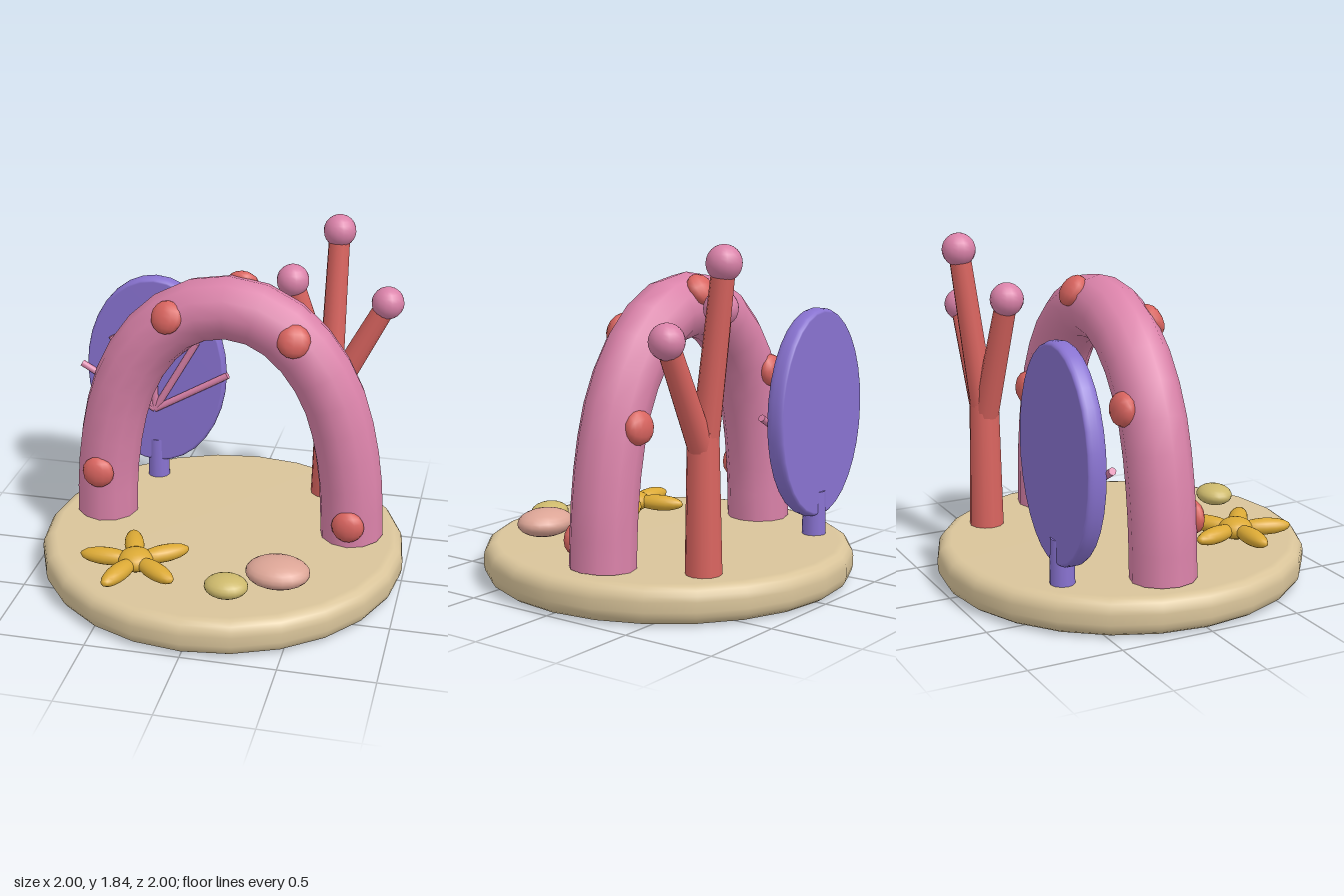
import * as THREE from 'three';

const mat = (name, color) => {
  const m = new THREE.MeshStandardMaterial({ color });
  m.name = name;
  return m;
};

export function createModel() {
  const sand = mat('sand', 0xd9c49a);
  const pink = mat('pink', 0xda82a9);
  const coralRed = mat('coral red', 0xd9645f);
  const purple = mat('purple', 0x8872d0);
  const gold = mat('gold', 0xdba935);
  const blush = mat('blush', 0xdca596);
  const olive = mat('olive', 0xcdb96c);

  const model = new THREE.Group();
  model.name = 'reefOrnament';
  const V = (x, y, z) => new THREE.Vector3(x, y, z);

  const add = (parent, name, geometry, material, x = 0, y = 0, z = 0) => {
    const mesh = new THREE.Mesh(geometry, material);
    mesh.name = name;
    mesh.position.set(x, y, z);
    parent.add(mesh);
    return mesh;
  };
  const group = (name) => {
    const g = new THREE.Group();
    g.name = name;
    model.add(g);
    return g;
  };
  const ellipsoid = (rx, ry, rz, w = 20, h = 12) =>
    new THREE.SphereGeometry(1, w, h).scale(rx, ry, rz);

  // Round slab with a rounded rim, standing on y = 0
  const puck = (radius, height, round, sides) => {
    const pts = [new THREE.Vector2(0, 0)];
    for (const [cy, start] of [[round, -Math.PI / 2], [height - round, 0]]) {
      for (let i = 0; i <= 4; i++) {
        const a = start + (i / 4) * Math.PI / 2;
        pts.push(new THREE.Vector2(radius - round + Math.cos(a) * round, cy + Math.sin(a) * round));
      }
    }
    pts.push(new THREE.Vector2(0, height));
    return new THREE.LatheGeometry(pts, sides);
  };

  // Tapered rod between two points
  const rod = (parent, name, a, b, ra, rb, material, sides = 12) => {
    const mesh = add(parent, name, new THREE.CylinderGeometry(rb, ra, a.distanceTo(b), sides), material);
    mesh.position.copy(a).lerp(b, 0.5);
    mesh.quaternion.setFromUnitVectors(V(0, 1, 0), b.clone().sub(a).normalize());
    return mesh;
  };

  // Base
  add(model, 'base', puck(1, 0.2, 0.075, 24), sand);

  // Arch
  const half = [[0.70, 0.2], [0.685, 0.5], [0.635, 0.81], [0.56, 1.04], [0.42, 1.26], [0.22, 1.42]];
  const path = [
    ...half.map(([x, y]) => V(-x, y, -0.115)),
    V(0, 1.47, -0.115),
    ...half.slice().reverse().map(([x, y]) => V(x, y, -0.115)),
  ];
  const arch = group('arch');
  add(arch, 'archTube', new THREE.TubeGeometry(new THREE.CatmullRomCurve3(path), 20, 0.173, 12), pink);

  // Flattened bumps on the arch: position, then outward direction
  const bumps = [
    [-0.30, 1.44, 0.03, -0.2, 0.45, 0.9],
    [0.38, 1.365, 0.03, 0.2, 0.4, 0.9],
    [-0.70, 0.50, 0.05, 0, 0, 1],
    [0.70, 0.325, 0.05, 0, 0, 1],
    [0.05, 1.56, -0.25, 0, 0.6, -0.8],
    [-0.57, 1.07, -0.28, -0.1, 0.1, -1],
    [0.61, 0.92, -0.28, 0.1, 0.1, -1],
  ];
  for (const [x, y, z, nx, ny, nz] of bumps) {
    const bump = add(arch, 'bump', ellipsoid(0.09, 0.09, 0.055, 12, 8), coralRed, x, y, z);
    bump.quaternion.setFromUnitVectors(V(0, 0, 1), V(nx, ny, nz).normalize());
  }

  // Branching coral with round tips
  const coral = group('branchCoral');
  rod(coral, 'trunk', V(0.485, 0.2, -0.585), V(0.49, 0.92, -0.582), 0.094, 0.08, coralRed);
  for (const [x, y, z] of [[0.495, 1.745, -0.705], [0.79, 1.39, -0.587], [0.27, 1.5, -0.53]]) {
    rod(coral, 'branch', V(0.485, 0.8, -0.582), V(x, y, z), 0.07, 0.058, coralRed);
    add(coral, 'branchTip', new THREE.SphereGeometry(0.09, 16, 12), pink, x, y, z);
  }

  // Upright fan on a short stem, with radiating ribs on its front
  const fan = group('fan');
  const disc = puck(1, 0.1, 0.04, 32).rotateX(Math.PI / 2).scale(0.41, 0.57, 1);
  add(fan, 'fanDisc', disc, purple, -0.53, 0.87, -0.645);
  add(fan, 'fanStem', new THREE.CylinderGeometry(0.06, 0.065, 0.24, 12), purple, -0.53, 0.32, -0.597);
  for (let i = 1; i <= 5; i++) {
    const a = i * Math.PI / 6;
    rod(fan, 'fanRib', V(-0.53, 0.645, -0.535),
      V(-0.53 + 0.5 * Math.cos(a), 0.645 + 0.5 * Math.sin(a), -0.535), 0.02, 0.02, pink, 8);
  }

  // Starfish
  const star = group('starfish');
  star.position.set(-0.355, 0.255, 0.525);
  add(star, 'starBody', ellipsoid(0.095, 0.058, 0.095), gold);
  for (let i = 0; i < 5; i++) {
    const a = Math.PI + i * Math.PI * 2 / 5;
    const arm = add(star, 'starArm', ellipsoid(0.145, 0.045, 0.053, 16, 10), gold,
      Math.cos(a) * 0.16, 0, -Math.sin(a) * 0.16);
    arm.rotation.y = a;
  }

  // Pebbles
  add(model, 'largePebble', ellipsoid(0.17, 0.075, 0.138), blush, 0.41, 0.28, 0.527);
  add(model, 'smallPebble', ellipsoid(0.115, 0.058, 0.098), olive, 0.175, 0.267, 0.703);

  return model;
}
